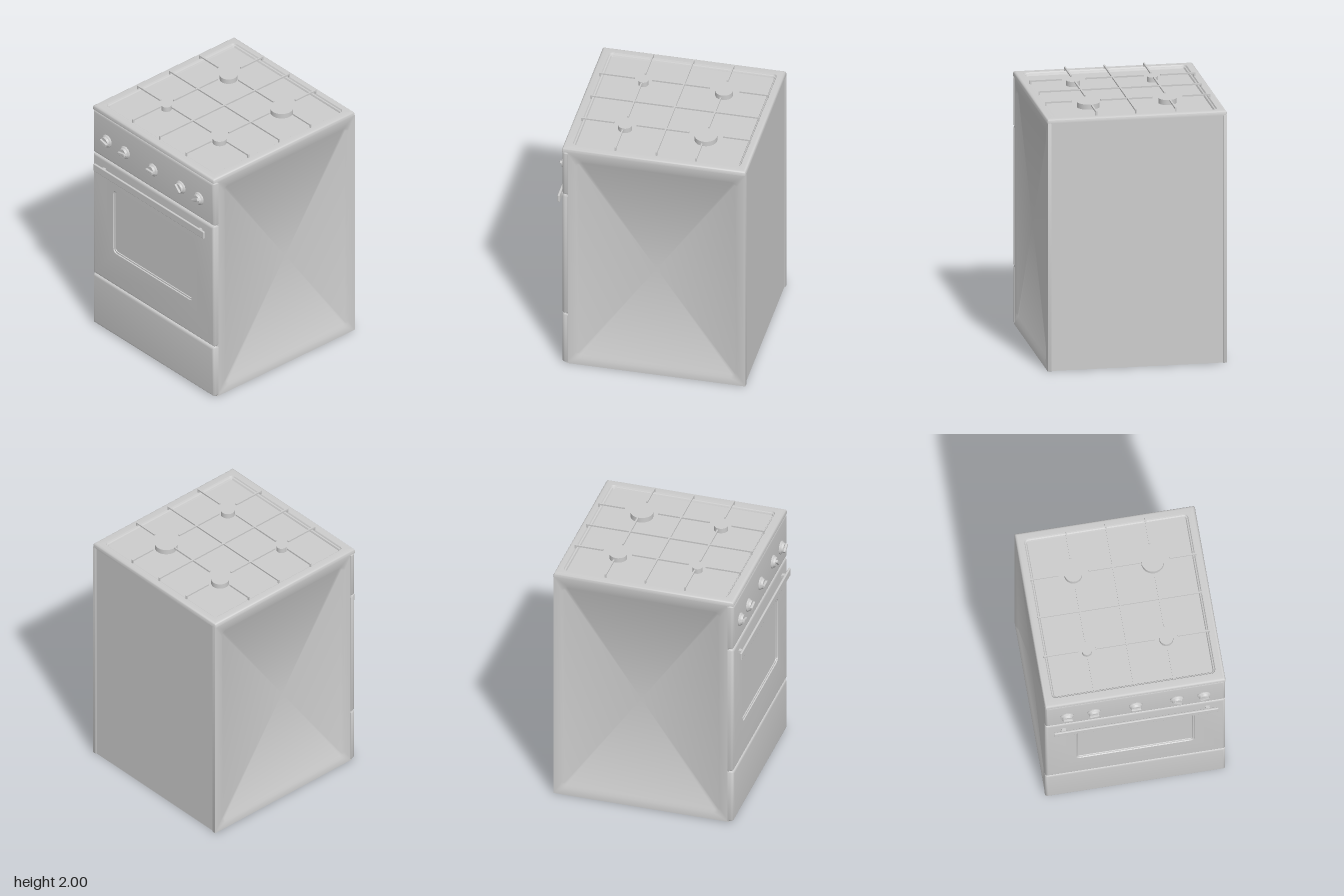
import * as THREE from 'three';
import { toCreasedNormals } from 'three/addons/utils/BufferGeometryUtils.js';
import { RoundedBoxGeometry } from 'three/addons/geometries/RoundedBoxGeometry.js';

const grey = new THREE.MeshStandardMaterial({ color: 0xcccccc });

function add(parent, name, geometry, x = 0, y = 0, z = 0) {
  const mesh = new THREE.Mesh(geometry, grey);
  mesh.name = name;
  mesh.position.set(x, y, z);
  parent.add(mesh);
  return mesh;
}

// One rounded-rectangle loop, counter-clockwise seen from +z
function loopPoints({ x0, x1, y0, y1, r, z }) {
  const pts = [], steps = 6;
  const corners = [[x1 - r, y0 + r], [x1 - r, y1 - r], [x0 + r, y1 - r], [x0 + r, y0 + r]];
  corners.forEach(([cx, cy], k) => {
    for (let i = 0; i <= steps; i++) {
      const a = (k - 1 + i / steps) * Math.PI / 2;
      pts.push([cx + r * Math.cos(a), cy + r * Math.sin(a), z]);
    }
  });
  return pts;
}

// Skins a series of rounded rectangles, closing both ends
function loft(loops) {
  const pos = [], index = [], n = 28;
  loops.forEach(l => loopPoints(l).forEach(p => pos.push(...p)));
  for (let k = 0; k < loops.length - 1; k++) {
    for (let i = 0; i < n; i++) {
      const a = k * n + i, b = k * n + (i + 1) % n;
      index.push(a, b, b + n, a, b + n, a + n);
    }
  }
  const cap = (l, start, flip) => {
    const c = pos.length / 3;
    pos.push((l.x0 + l.x1) / 2, (l.y0 + l.y1) / 2, l.z);
    for (let i = 0; i < n; i++) {
      const a = start + i, b = start + (i + 1) % n;
      index.push(c, flip ? b : a, flip ? a : b);
    }
  };
  cap(loops[0], 0, true);
  cap(loops[loops.length - 1], (loops.length - 1) * n, false);
  const g = new THREE.BufferGeometry();
  g.setAttribute('position', new THREE.Float32BufferAttribute(pos, 3));
  g.setIndex(index);
  return toCreasedNormals(g, 0.6);
}

const rect = (x0, x1, y0, y1, r, z) => ({ x0, x1, y0, y1, r, z });
const inset = (l, d, z) => rect(l.x0 + d, l.x1 - d, l.y0 + d, l.y1 - d, Math.max(l.r - d, 0.002), z);

// Slab with a rounded front edge; extra loops carve a recess into its face
function slab(outline, back, front, round, recess = []) {
  const loops = [{ ...outline, z: back }];
  for (let i = 0; i <= 4; i++) {
    const a = i / 4 * Math.PI / 2;
    loops.push(inset(outline, round * (1 - Math.cos(a)), front - round + round * Math.sin(a)));
  }
  return loft([...loops, ...recess]);
}

// Pan support bar: runs along the top, with optional feet bent down at its ends
function bar(parent, a, b, axis, cross, footA, footB) {
  const w = 0.012, top = 1.994;
  const place = (len, h, at, y) => {
    const g = axis === 'x' ? new THREE.BoxGeometry(len, h, w) : new THREE.BoxGeometry(w, h, len);
    add(parent, 'supportBar', g, axis === 'x' ? at : cross, y, axis === 'x' ? cross : at);
  };
  place(b - a, w, (a + b) / 2, top);
  if (footA) place(w, 0.025, a + w / 2, top - 0.0125);
  if (footB) place(w, 0.025, b - w / 2, top - 0.0125);
}

export function createModel() {
  const stove = new THREE.Group();
  stove.name = 'stove';

  // Cabinet core, its rear face set slightly in from the side panels
  add(stove, 'cabinet', new THREE.BoxGeometry(1.34, 1.94, 1.375), 0, 0.97, -0.0375);

  // Side panels with a shallow pressed recess
  for (const s of [1, -1]) {
    const span = (z0, z1, y0, y1, r, d) => s > 0 ? rect(-z1, -z0, y0, y1, r, d) : rect(z0, z1, y0, y1, r, d);
    const rim = span(-0.67, 0.58, 0.06, 1.87, 0.05, 0.687);
    const panel = loft([
      span(-0.735, 0.65, 0, 1.94, 0.002, 0.66),
      span(-0.735, 0.65, 0, 1.94, 0.002, 0.687),
      rim, inset(rim, 0.022, 0.674),
    ]);
    panel.rotateY(s * Math.PI / 2);
    add(stove, s > 0 ? 'leftSidePanel' : 'rightSidePanel', panel);
  }

  // Front: drawer, oven door with sunken window, control panel
  const front = (y0, y1) => rect(-0.69, 0.69, y0, y1, 0.012, 0);
  add(stove, 'drawerFront', slab(front(0.008, 0.453), 0.64, 0.687, 0.025));
  const glass = rect(-0.455, 0.455, 0.755, 1.323, 0.04, 0.687);
  add(stove, 'ovenDoor', slab(front(0.457, 1.543), 0.64, 0.687, 0.025,
    [glass, inset(glass, 0.004, 0.679), inset(glass, 0.014, 0.679), inset(glass, 0.016, 0.672)]));
  add(stove, 'controlPanel', slab(front(1.547, 1.932), 0.64, 0.687, 0.025));

  // Door handle on two posts
  add(stove, 'doorHandle', new RoundedBoxGeometry(1.255, 0.064, 0.018, 3, 0.006), 0, 1.457, 0.726);
  for (const x of [-0.55, 0.55]) {
    add(stove, 'handlePost', new THREE.BoxGeometry(0.03, 0.022, 0.045), x, 1.457, 0.7);
  }

  // Control knobs: stepped base with a turned grip
  const profile = [[0, 0], [0.052, 0], [0.052, 0.008], [0.047, 0.014], [0.043, 0.016], [0.037, 0.032], [0, 0.032]]
    .map(p => new THREE.Vector2(...p));
  const knobGeo = toCreasedNormals(new THREE.LatheGeometry(profile, 32).rotateX(Math.PI / 2), 0.5);
  [[-0.524, -15], [-0.317, 10], [0, 0], [0.317, -45], [0.524, 30]].forEach(([x, deg]) => {
    const knob = new THREE.Group();
    knob.name = 'knob';
    knob.position.set(x, 1.725, 0.686);
    knob.rotation.z = deg * Math.PI / 180;
    add(knob, 'knobBase', knobGeo);
    add(knob, 'knobGrip', new RoundedBoxGeometry(0.076, 0.024, 0.036, 2, 0.005), 0, 0, 0.03);
    stove.add(knob);
  });

  // Hob plate with a sunken tray
  const tray = rect(-0.627, 0.627, -0.62, 0.68, 0.035, 1.97);
  const hob = slab(rect(-0.69, 0.69, -0.687, 0.735, 0.01, 0), 1.934, 1.97, 0.02,
    [tray, inset(tray, 0.006, 1.96), inset(tray, 0.015, 1.957), inset(tray, 0.021, 1.945)]);
  hob.rotateX(-Math.PI / 2);
  add(stove, 'hob', hob);

  // Burners: [x, z, radius]
  [[-0.305, -0.34, 0.067], [0.302, -0.34, 0.086], [-0.305, 0.285, 0.038], [0.302, 0.285, 0.053]]
    .forEach(([x, z, r]) => {
      add(stove, 'burnerCap', new THREE.CylinderGeometry(r, r, 0.042, 40), x, 1.964, z);
    });

  // Pan supports: a full cross plus fingers stopping short of each burner
  const supports = new THREE.Group();
  supports.name = 'panSupports';
  stove.add(supports);
  bar(supports, -0.685, 0.625, 'z', 0, true, true);
  bar(supports, -0.627, 0.627, 'x', -0.03, true, true);
  const fingers = [
    ['x', -0.34, -0.635, -0.42], ['x', -0.34, -0.19, 0.21], ['x', -0.34, 0.43, 0.635],
    ['x', 0.285, -0.635, -0.37], ['x', 0.285, -0.24, 0.21], ['x', 0.285, 0.39, 0.635],
    ['z', -0.305, -0.685, -0.46], ['z', -0.305, -0.23, 0.215], ['z', -0.305, 0.35, 0.625],
    ['z', 0.302, -0.685, -0.475], ['z', 0.302, -0.21, 0.195], ['z', 0.302, 0.37, 0.625],
  ];
  for (const [axis, cross, a, b] of fingers) bar(supports, a, b, axis, cross, a < -0.6, b > 0.6);

  return stove;
}
